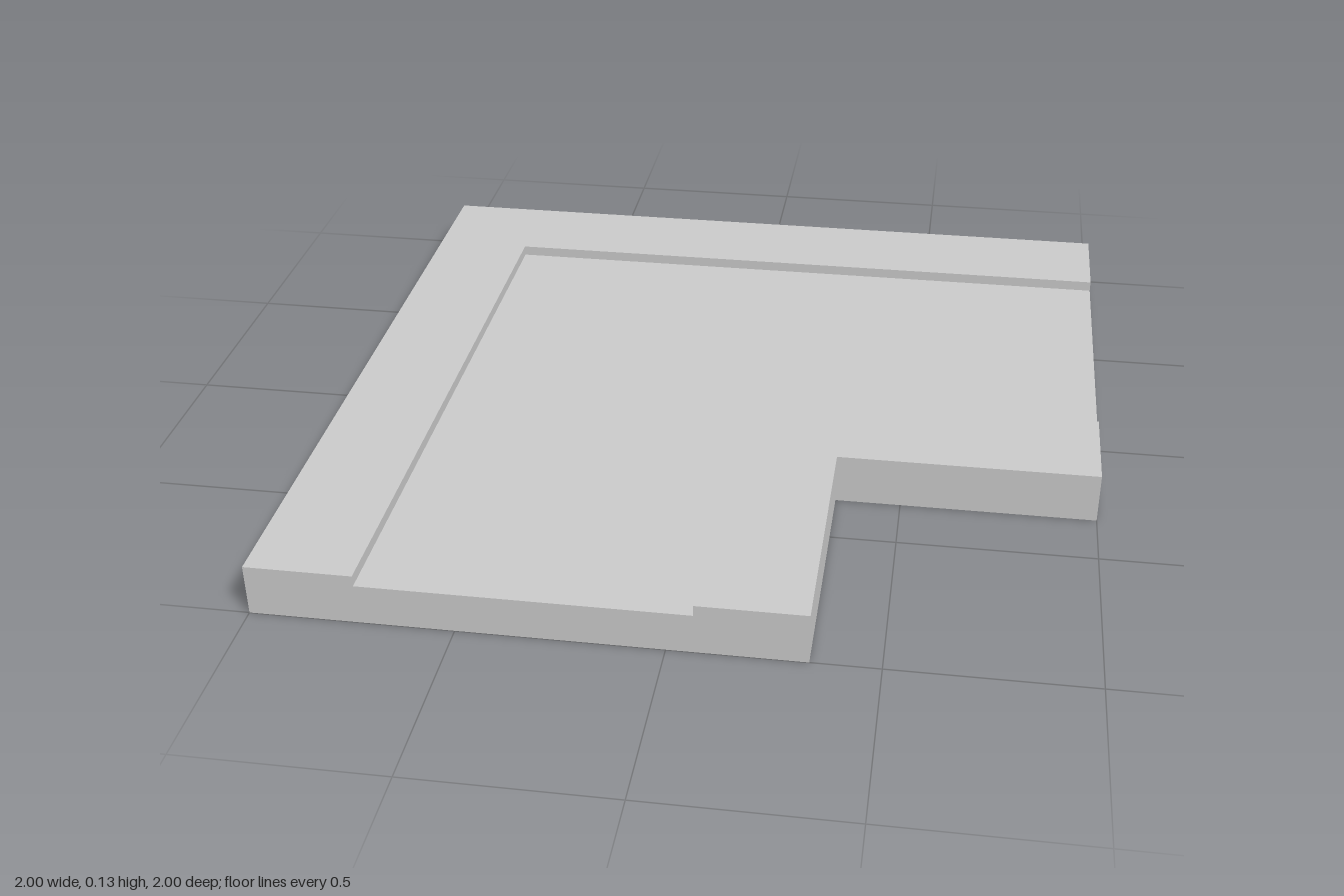
import * as THREE from 'three';

const FLOOR = 0.105; // height of the sunken path
const TOP = 0.133;   // height of the raised borders
const OUT = 0.333;   // inner corner of the L-shaped tile
const LOW = -0.735;  // path edge along the outer border
const HIGH = 0.065;  // path edge along the inner border

const material = new THREE.MeshStandardMaterial({ color: 0xcccccc, flatShading: true });

// Extrude an outline of [x, z] points upwards between two heights
function slab(name, outline, y0, y1) {
  const shape = new THREE.Shape(outline.map(([x, z]) => new THREE.Vector2(x, -z)));
  const geometry = new THREE.ExtrudeGeometry(shape, { depth: y1 - y0, bevelEnabled: false });
  geometry.rotateX(-Math.PI / 2);
  geometry.translate(0, y0, 0);
  const mesh = new THREE.Mesh(geometry, material);
  mesh.name = name;
  return mesh;
}

// L-shaped band between two corners on the diagonal
const corner = (a, b) => [[a, a], [1, a], [1, b], [b, b], [b, 1], [a, 1]];

export function createModel() {
  const model = new THREE.Group();
  model.name = 'cornerPathTile';
  model.add(
    slab('base', corner(-1, OUT), 0, FLOOR),
    slab('outerBorder', corner(-1, LOW), FLOOR, TOP),
    slab('innerBorder', corner(HIGH, OUT), FLOOR, TOP),
  );
  return model;
}
